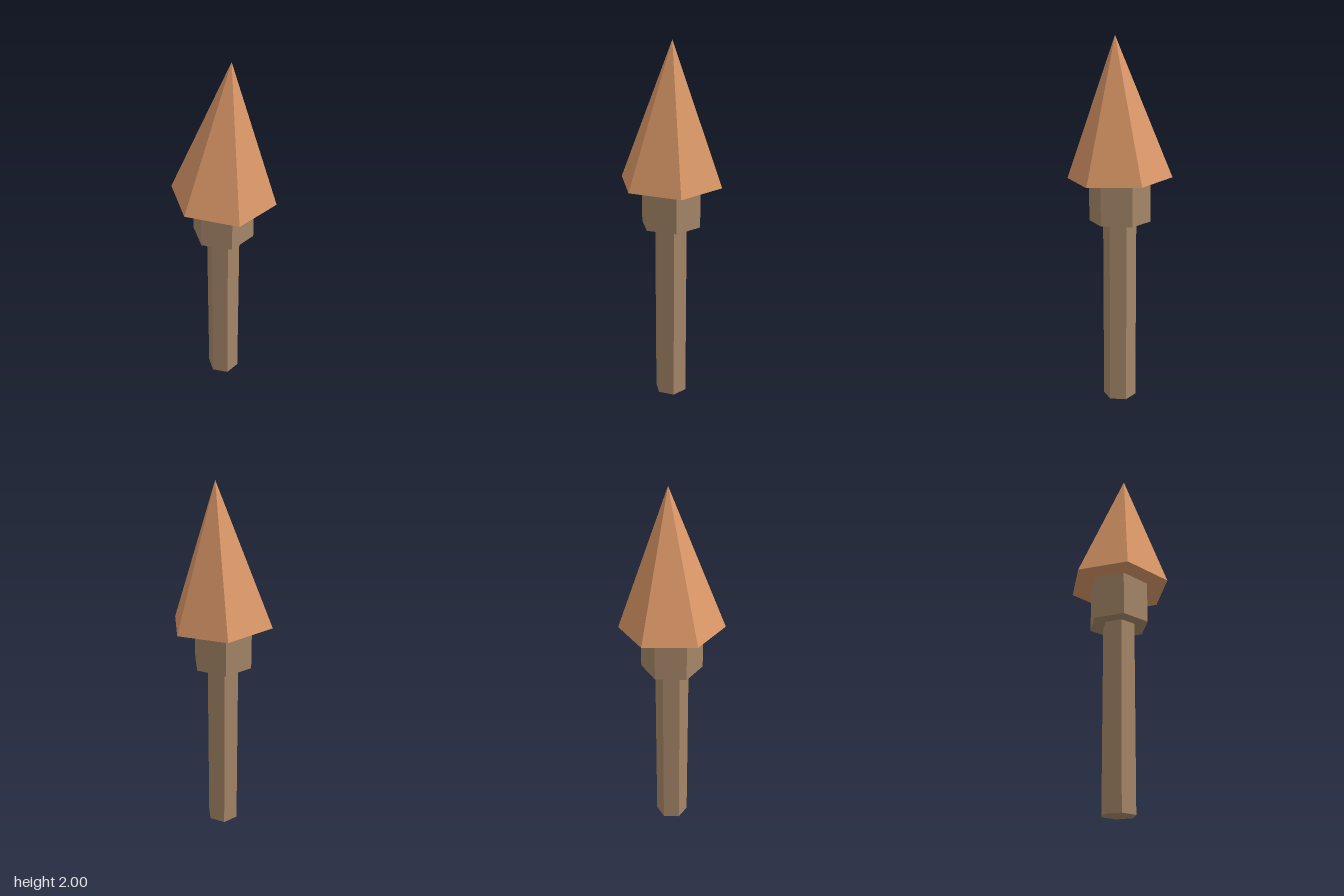
import * as THREE from 'three';

export function createModel() {
  const group = new THREE.Group();
  const wood = new THREE.MeshStandardMaterial({ color: 0xa68768 });
  wood.name = 'brown wood';
  const orange = new THREE.MeshStandardMaterial({ color: 0xdb9868 });
  orange.name = 'orange tip';

  // Six-sided part with corners on the x axis, flat shaded
  function hexPart(name, topRadius, bottomRadius, height, material, x, y) {
    const geometry = new THREE.CylinderGeometry(topRadius, bottomRadius, height, 6)
      .rotateY(Math.PI / 6)
      .toNonIndexed();
    geometry.computeVertexNormals();
    const mesh = new THREE.Mesh(geometry, material);
    mesh.name = name;
    mesh.position.set(x, y, 0);
    group.add(mesh);
    return mesh;
  }

  // Shaft and the wider collar it plugs into
  hexPart('shaft', 0.091, 0.091, 1.04, wood, -0.002, 0.52);
  hexPart('collar', 0.167, 0.167, 0.26, wood, -0.002, 1.15);

  // Pointed tip, leaning slightly towards +x
  const tip = hexPart('tip', 0, 0.284, 0.742, orange, 0.019, 1.629);
  tip.rotation.z = -0.053;

  return group;
}
